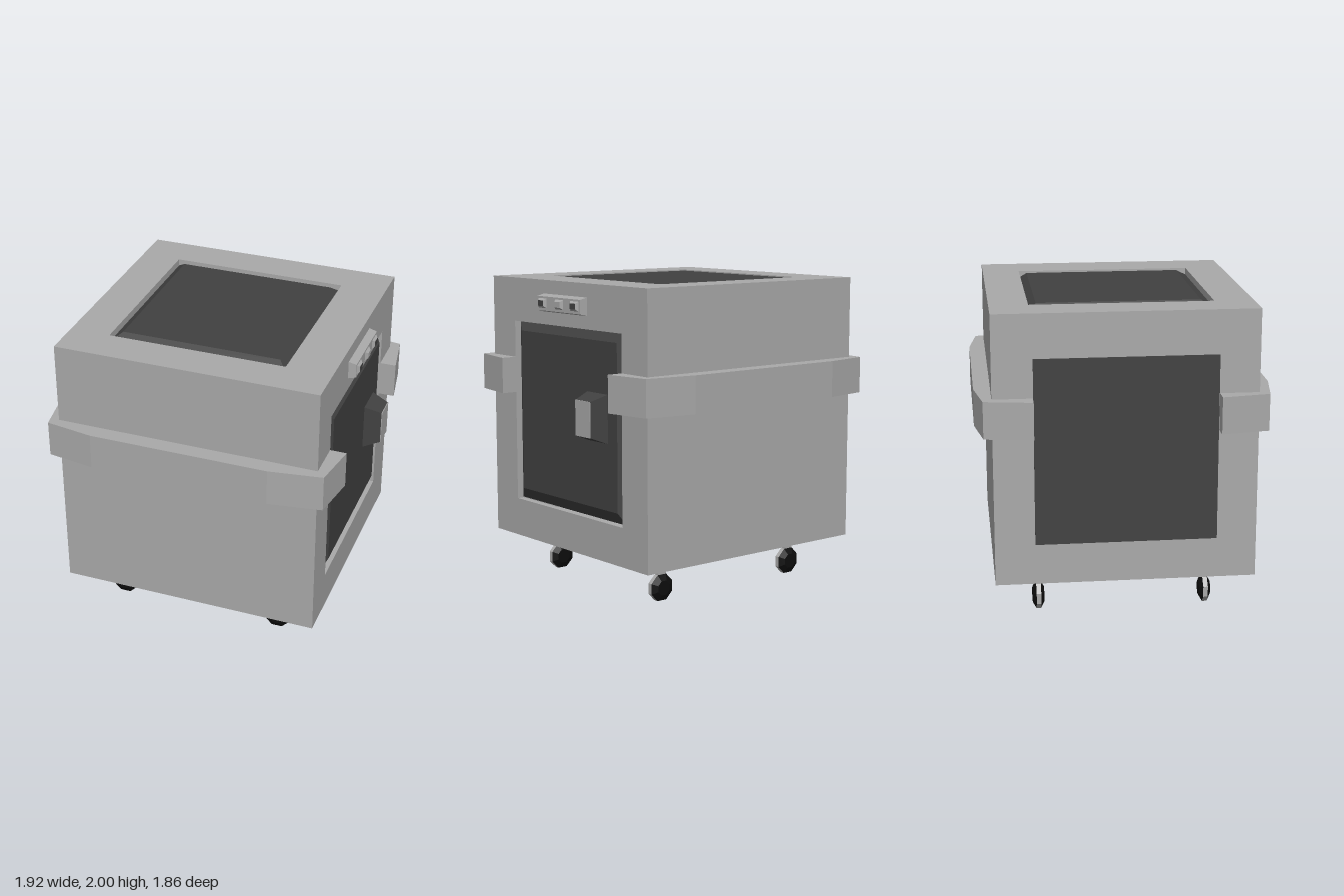
import * as THREE from 'three';

const material = (name, color, extra = {}) => {
  const m = new THREE.MeshStandardMaterial({ color, ...extra });
  m.name = name;
  return m;
};

// Turns from local (x, y, outward z) to a face of the cabinet
const toRight = g => g.rotateY(Math.PI / 2);    // x -> -z, z -> +x
const toTop = g => g.rotateX(-Math.PI / 2);     // y -> -z, z -> +y
const toBottom = g => g.rotateX(Math.PI / 2);   // y -> +z, z -> -y

// Box whose rectangle [u0, u1, v0, v1] changes from base (z = w0) to tip (z = w1)
function taperedBlock(base, tip, w0, w1) {
  const g = new THREE.BoxGeometry(1, 1, 1);
  const p = g.attributes.position;
  for (let i = 0; i < p.count; i++) {
    const front = p.getZ(i) > 0;
    const r = front ? tip : base;
    p.setXYZ(i, p.getX(i) < 0 ? r[0] : r[1], p.getY(i) < 0 ? r[2] : r[3], front ? w1 : w0);
  }
  const flat = g.toNonIndexed();
  flat.computeVertexNormals();
  return flat;
}

const corners = ([u0, u1, v0, v1]) => [[u0, v0], [u1, v0], [u1, v1], [u0, v1]].map(c => new THREE.Vector2(...c));

// Flat wall with a rectangular opening, from z = w - depth to z = w
function frame(outer, hole, depth, w) {
  const s = new THREE.Shape(corners(outer));
  s.holes.push(new THREE.Path(corners(hole)));
  return new THREE.ExtrudeGeometry(s, { depth, bevelEnabled: false }).translate(0, 0, w - depth);
}

// Sloped open ring between two rectangles in the xz plane
function funnel(low, lowY, high, highY) {
  const a = corners(low), b = corners(high), pos = [];
  for (let i = 0; i < 4; i++) {
    const j = (i + 1) % 4;
    const A = [a[i].x, lowY, a[i].y], B = [a[j].x, lowY, a[j].y];
    const C = [b[j].x, highY, b[j].y], D = [b[i].x, highY, b[i].y];
    pos.push(...A, ...B, ...C, ...A, ...C, ...D);
  }
  const g = new THREE.BufferGeometry();
  g.setAttribute('position', new THREE.Float32BufferAttribute(pos, 3));
  g.computeVertexNormals();
  return g;
}

export function createModel() {
  const grey = material('body grey', 0xa9a9a9);
  const greyOpen = material('underside grey', 0xa9a9a9, { side: THREE.DoubleSide });
  const dark = material('panel dark grey', 0x414141);
  const black = material('wheel black', 0x0d0d0d);

  const root = new THREE.Group();
  root.name = 'cabinetOnWheels';
  const add = (name, geometry, mat, parent = root) => {
    const m = new THREE.Mesh(geometry, mat);
    m.name = name;
    parent.add(m);
    return m;
  };

  const X0 = -0.86, X1 = 0.845, Y0 = 0.27, Y1 = 2, Z = 0.825, T = 0.045;
  const midX = (X0 + X1) / 2, midY = (Y0 + Y1) / 2;

  // Cabinet walls, open at the bottom
  for (const s of [1, -1]) {
    add(s > 0 ? 'frontWall' : 'backWall',
      new THREE.BoxGeometry(X1 - X0, Y1 - Y0, 0.01).translate(midX, midY, s * (Z - 0.005)), grey);
  }
  add('leftWall', new THREE.BoxGeometry(0.01, Y1 - Y0, 2 * Z).translate(X0 + 0.005, midY, 0), grey);
  add('doorWall', toRight(frame([-Z, Z, Y0, Y1], [-0.575, 0.575, 0.52, 1.715], T, X1)), grey);
  add('topWall', toTop(frame([X0, X1, -Z, Z], [-0.6, 0.55, -0.575, 0.58], T, Y1)), grey);
  add('hollowUnderside', funnel([X0, X1, -Z, Z], Y0, [-0.6, 0.55, -0.58, 0.575], 0.43), greyOpen);

  // Dark bevelled panels
  add('door', toRight(taperedBlock([-0.575, 0.567, 0.525, 1.713], [-0.505, 0.525, 0.6, 1.655], X1 - T, X1 - 0.002)), dark);
  add('topPanel', toTop(taperedBlock([-0.6, 0.55, -0.575, 0.58], [-0.54, 0.49, -0.5, 0.53], Y1 - T, Y1 - 0.002)), dark);
  add('bottomPanel', toBottom(taperedBlock([-0.6, 0.55, -0.58, 0.575], [-0.54, 0.49, -0.53, 0.5], -0.44, -0.37)), dark);
  add('sidePanel', new THREE.BoxGeometry(0.006, 1.19, 1.145).translate(X0 - 0.001, 1.125, 0), dark);

  // Door handle with a light face
  add('handle', toRight(taperedBlock([0.215, 0.435, 1.015, 1.335], [0.25, 0.4, 1.065, 1.29], X1 - 0.02, 0.953)), dark);
  add('handleFace', toRight(taperedBlock([0.25, 0.4, 1.065, 1.29], [0.25, 0.4, 1.065, 1.29], 0.952, 0.958)), grey);

  // Control strip with three buttons
  const controls = new THREE.Group();
  controls.name = 'controlStrip';
  root.add(controls);
  add('stripBase', toRight(taperedBlock([-0.24, 0.23, 1.795, 1.915], [-0.235, 0.225, 1.81, 1.9], X1 - 0.01, 0.895)), grey, controls);
  for (const [z, mat] of [[0.18, dark], [0, grey], [-0.165, dark]]) {
    const y = 1.857;
    const tip = [-z - 0.027, -z + 0.027, y - 0.018, y + 0.018];
    add('button', toRight(taperedBlock([-z - 0.05, -z + 0.05, y - 0.035, y + 0.035], tip, 0.89, 0.91)), grey, controls);
    add('buttonFace', toRight(taperedBlock(tip, tip, 0.909, 0.912)), mat, controls);
  }

  // Bumper bands wrapping the front and back
  for (const s of [1, -1]) {
    const outline = [[-0.96, 0.575], [-0.91, 0.88], [-0.6, 0.93], [0.56, 0.93], [0.9, 0.88], [0.95, 0.575],
      [0.84, 0.575], [0.84, 0.82], [-0.855, 0.82], [-0.855, 0.575]];
    const shape = new THREE.Shape(outline.map(([x, z]) => new THREE.Vector2(x, s * z)));
    const band = new THREE.ExtrudeGeometry(shape, { depth: 0.235, bevelEnabled: false });
    add(s > 0 ? 'frontBumper' : 'backBumper', toBottom(band).translate(0, 1.475, 0), grey);
  }

  // Legs with octagonal wheels
  for (const x of [-0.58, 0.52]) {
    for (const z of [-0.543, 0.543]) {
      const caster = new THREE.Group();
      caster.name = 'caster';
      caster.position.set(x, 0, z);
      root.add(caster);
      add('leg', toBottom(taperedBlock([-0.037, 0.037, -0.025, 0.025], [-0.032, 0.032, -0.014, 0.014], -0.46, -0.14)), grey, caster);
      const wheel = new THREE.Group();
      wheel.name = 'wheel';
      wheel.position.y = 0.084;
      wheel.rotation.x = Math.PI / 2;
      caster.add(wheel);
      const R = 0.084 / Math.cos(Math.PI / 8);
      const disc = (top, bottom, h) =>
        new THREE.CylinderGeometry(top, bottom, h, 8, 1).toNonIndexed().rotateY(Math.PI / 8);
      const flat = g => { g.computeVertexNormals(); return g; };
      add('tread', flat(disc(R, R, 0.03)), grey, wheel);
      add('wheelSide', flat(disc(R * 0.55, R, 0.022).translate(0, 0.026, 0)), black, wheel);
      add('wheelSide', flat(disc(R, R * 0.55, 0.022).translate(0, -0.026, 0)), black, wheel);
    }
  }
  return root;
}
